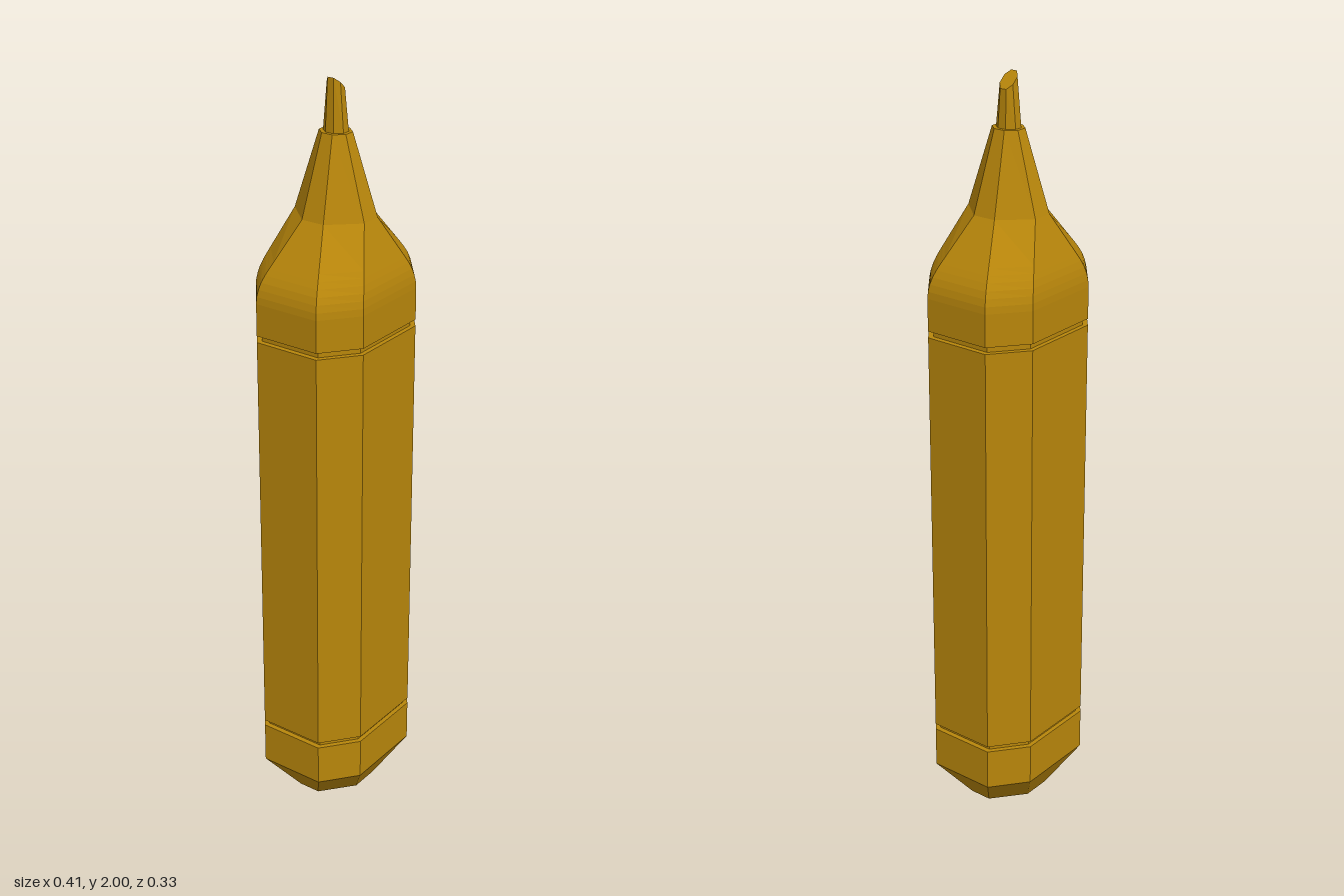
import * as THREE from 'three';

// Chamfered-rectangle section: half sizes hx, hz; flat halves cx, cz; slope tilts it along x
const section = (y, hx, hz, cx, cz, slope = 0) =>
  [[hx, cz], [cx, hz], [-cx, hz], [-hx, cz], [-hx, -cz], [-cx, -hz], [cx, -hz], [hx, -cz]]
    .map(([x, z]) => new THREE.Vector3(x, y - x * slope, z));

// Skin a stack of sections and cap both ends
function loft(name, sections, material) {
  const pos = [];
  const tri = (...p) => p.forEach(v => pos.push(v.x, v.y, v.z));
  for (let i = 0; i < sections.length - 1; i++) {
    const lo = sections[i], hi = sections[i + 1];
    for (let j = 0; j < 8; j++) {
      const k = (j + 1) % 8;
      tri(lo[j], hi[j], hi[k]);
      tri(lo[j], hi[k], lo[k]);
    }
  }
  const first = sections[0], last = sections[sections.length - 1];
  for (let j = 1; j < 7; j++) {
    tri(first[0], first[j], first[j + 1]);
    tri(last[0], last[j + 1], last[j]);
  }
  const geometry = new THREE.BufferGeometry();
  geometry.setAttribute('position', new THREE.Float32BufferAttribute(pos, 3));
  geometry.computeVertexNormals();
  const mesh = new THREE.Mesh(geometry, material);
  mesh.name = name;
  return mesh;
}

export function createModel() {
  const group = new THREE.Group();
  group.name = 'marker';
  const gold = new THREE.MeshStandardMaterial({ color: 0xb8860b, flatShading: true });

  const full = y => section(y, 0.205, 0.165, 0.113, 0.091);
  const inset = y => section(y, 0.191, 0.153, 0.107, 0.086);
  // Shoulder section: t runs from 0 (full width) to 1 (foot of the neck)
  const shoulder = ([y, t]) => section(y,
    0.205 - 0.11 * t, 0.165 - 0.06 * t, 0.113 - 0.085 * t, 0.091 - 0.059 * t);

  // Tapered base
  group.add(loft('base', [section(0, 0.125, 0.1, 0.04, 0.03), full(0.108), full(0.221)], gold));

  // Long barrel
  group.add(loft('barrel', [full(0.237), full(1.363)], gold));

  // Recessed rings between the sections
  group.add(loft('lowerGroove', [inset(0.215), inset(0.243)], gold));
  group.add(loft('upperGroove', [inset(1.357), inset(1.386)], gold));

  // Rounded shoulder narrowing into the neck
  group.add(loft('shoulder', [
    full(1.38),
    ...[[1.465, 0], [1.483, 0.015], [1.501, 0.055], [1.518, 0.115], [1.535, 0.2],
      [1.55, 0.29], [1.565, 0.385], [1.662, 1]].map(shoulder),
    section(1.867, 0.036, 0.04, 0.0145, 0.0155),
  ], gold));

  // Nib with a slanted tip
  group.add(loft('nib', [
    section(1.86, 0.027, 0.031, 0.011, 0.012),
    section(1.981, 0.021, 0.02, 0.009, 0.009, 0.9),
  ], gold));

  return group;
}
